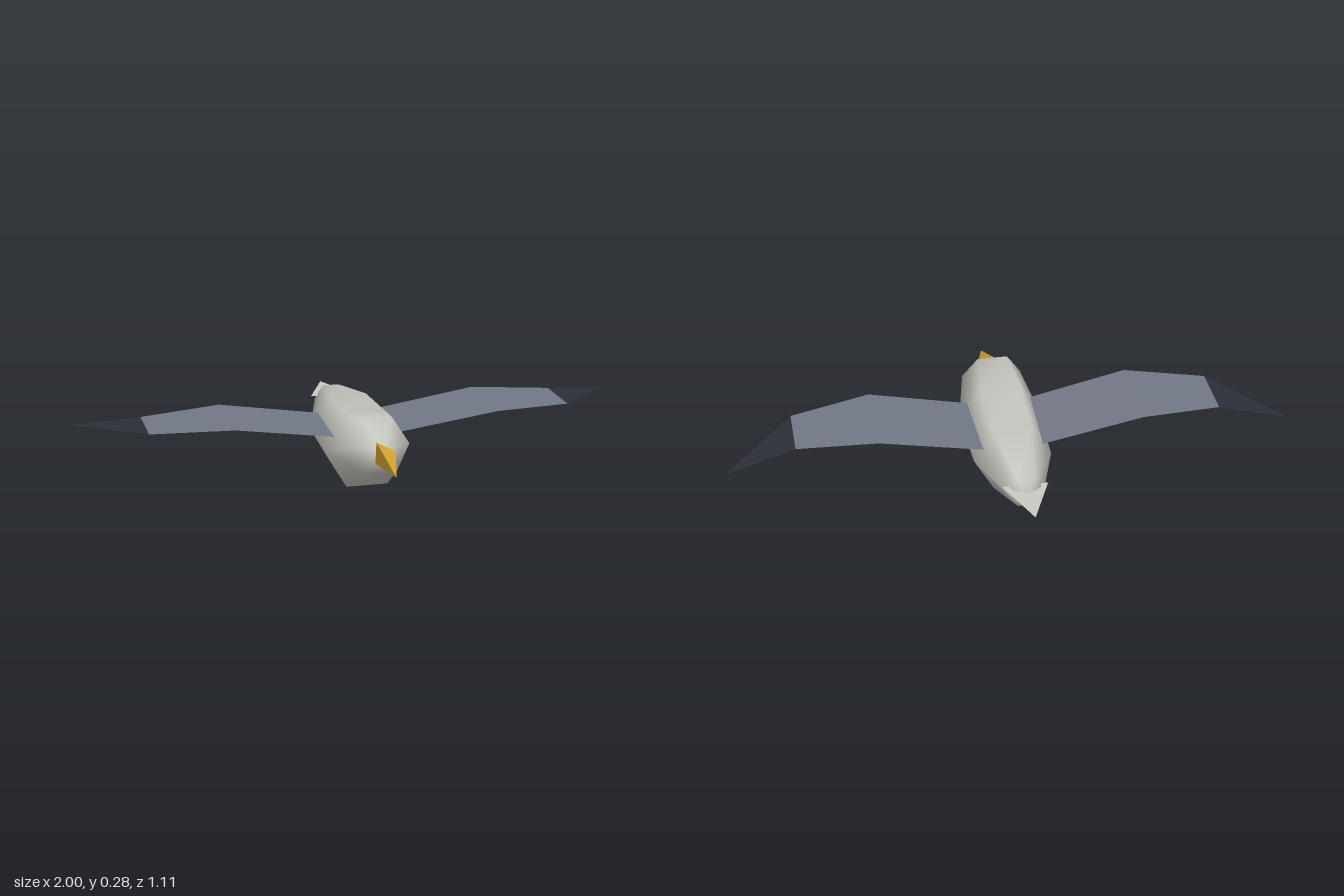
import * as THREE from 'three';

const mat = (name, color, extra = {}) => new THREE.MeshStandardMaterial({ name, color, ...extra });

function meshFrom(name, points, index, material) {
  const geo = new THREE.BufferGeometry();
  geo.setAttribute('position', new THREE.Float32BufferAttribute(points.flat(), 3));
  geo.setIndex(index);
  geo.computeVertexNormals();
  const mesh = new THREE.Mesh(geo, material);
  mesh.name = name;
  return mesh;
}

// Six-sided body lofted through slightly tilted rings, closed by a nose and a rump point
function makeBody(material) {
  const sides = 6;
  // [top z, top y, bottom z, bottom y, half width], front to back
  const rings = [
    [0.295, 0.285, 0.36, 0.11, 0.108],
    [0.13, 0.258, 0.165, 0.0, 0.148],
    [-0.12, 0.25, -0.13, 0.008, 0.138],
    [-0.385, 0.213, -0.395, 0.115, 0.06],
  ];
  const points = [];
  for (const [tz, ty, bz, by, w] of rings) {
    for (let j = 0; j < sides; j++) {
      const a = (j / sides) * Math.PI * 2;
      const t = 0.5 + Math.sin(a) / (2 * Math.sin(Math.PI / 3));
      points.push([w * Math.cos(a), by + (ty - by) * t, bz + (tz - bz) * t]);
    }
  }
  const nose = points.push([0, 0.2, 0.385]) - 1;
  const rump = points.push([0, 0.167, -0.425]) - 1;
  const index = [];
  const last = (rings.length - 1) * sides;
  for (let j = 0; j < sides; j++) {
    const k = (j + 1) % sides;
    index.push(nose, j, k, rump, last + k, last + j);
    for (let i = 0; i < last; i += sides) {
      index.push(i + j, i + sides + j, i + k, i + k, i + sides + j, i + sides + k);
    }
  }
  return meshFrom('body', points, index, material);
}

// One wing: a thin sheet through chord lines, with a dark pointed tip
function makeWing(side, feather, tipMat) {
  // [x, y, leading z, trailing z]
  const chords = [
    [0.1, 0.183, 0.16, -0.14],
    [0.47, 0.245, 0.19, -0.126],
    [0.755, 0.231, 0.12, -0.09],
  ];
  const points = chords.flatMap(([x, y, lead, trail]) => [[side * x, y, lead], [side * x, y, trail]]);
  const facing = (tris) => (side > 0 ? tris : tris.reverse());
  const wing = new THREE.Group();
  wing.name = side > 0 ? 'leftWing' : 'rightWing';
  wing.add(meshFrom('wingPanels', points, facing([0, 2, 1, 1, 2, 3, 2, 4, 3, 3, 4, 5]), feather));
  wing.add(meshFrom('wingTip', [points[4], [side, 0.2, -0.156], points[5]], facing([0, 1, 2]), tipMat));
  return wing;
}

export function createModel() {
  const double = { side: THREE.DoubleSide };
  const white = mat('paleFeathers', 0xcacac3);
  const whiteSheet = mat('paleTailFeathers', 0xcacac3, { ...double, flatShading: true });
  const grey = mat('greyFeathers', 0x737888, { ...double, flatShading: true });
  const dark = mat('darkFeathers', 0x2d2f39, { ...double, flatShading: true });
  const yellow = mat('beakYellow', 0xd4a530, { flatShading: true });

  const bird = new THREE.Group();
  bird.name = 'seabird';
  bird.add(makeBody(white));
  for (const side of [1, -1]) bird.add(makeWing(side, grey, dark));

  // Flat triangular tail
  bird.add(meshFrom('tail', [[0.08, 0.18, -0.365], [0, 0.18, -0.555], [-0.08, 0.18, -0.365]], [0, 1, 2], whiteSheet));

  // Three-sided beak, pointing slightly down
  const beakGeo = new THREE.ConeGeometry(0.047, 0.18, 3);
  beakGeo.rotateY(Math.PI / 2).translate(0, 0.09, 0);
  beakGeo.rotateX(Math.PI / 2 + 0.168).translate(0, 0.188, 0.378);
  const beak = new THREE.Mesh(beakGeo, yellow);
  beak.name = 'beak';
  bird.add(beak);
  return bird;
}
